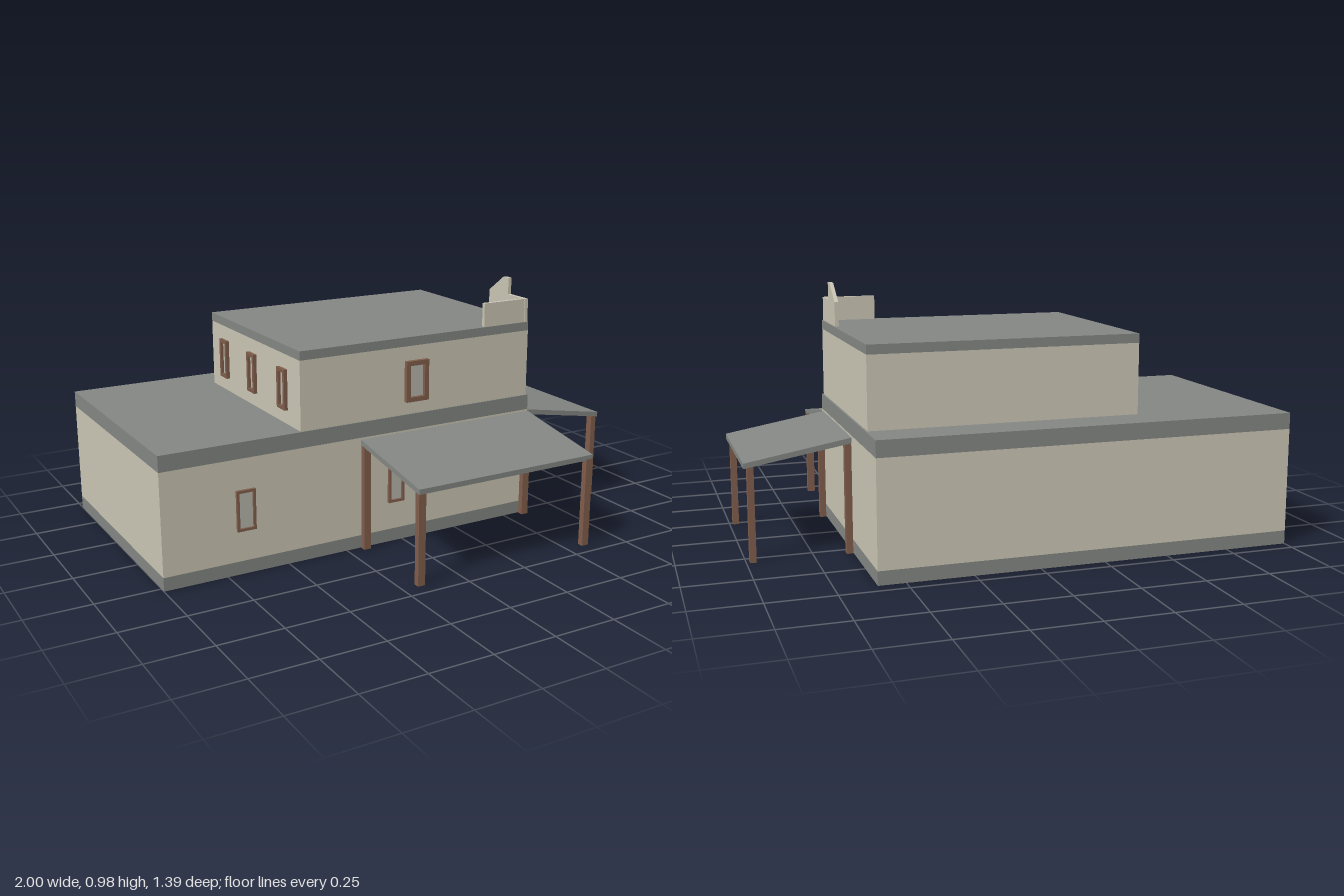
import * as THREE from 'three';

const mat = (name, color) => {
  const m = new THREE.MeshStandardMaterial({ color });
  m.name = name;
  return m;
};

export function createModel() {
  const wall = mat('plaster', 0xcac5b3);
  const grey = mat('greyTrim', 0x838683);
  const wood = mat('wood', 0x7f5d4b);
  const glass = mat('windowPane', 0xb6b6ac);
  const house = new THREE.Group();
  house.name = 'house';

  const add = (parent, name, geometry, material) => {
    const mesh = new THREE.Mesh(geometry, material);
    mesh.name = name;
    parent.add(mesh);
    return mesh;
  };
  // Box given by its limits along each axis
  const box = (parent, name, material, [x0, x1], [y0, y1], [z0, z1]) => {
    const g = new THREE.BoxGeometry(x1 - x0, y1 - y0, z1 - z0);
    g.translate((x0 + x1) / 2, (y0 + y1) / 2, (z0 + z1) / 2);
    return add(parent, name, g, material);
  };
  const polygon = (points) => new THREE.Shape(points.map(([x, y]) => new THREE.Vector2(x, y)));
  const extrude = (shape, depth) => new THREE.ExtrudeGeometry(shape, { depth, bevelEnabled: false });

  // Ground floor with plinth and roof band
  const gx = [-1, 0.602], gz = [-0.697, 0.276];
  box(house, 'plinth', grey, gx, [0, 0.052], gz);
  box(house, 'groundFloorWalls', wall, gx, [0.052, 0.45], gz);
  box(house, 'groundFloorRoof', grey, gx, [0.45, 0.512], gz);

  // Upper floor
  const ux = [-0.44, 0.595], uz = [-0.543, 0.27];
  box(house, 'upperFloorWalls', wall, ux, [0.512, 0.782], uz);
  box(house, 'upperFloorRoof', grey, ux, [0.782, 0.817], uz);

  // Stepped parapet on the roof corner
  box(house, 'frontParapet', wall, [0.38, 0.59], [0.817, 0.912], [0.252, 0.267]);
  const side = extrude(polygon([
    [-0.27, 0.817], [-0.025, 0.817], [-0.025, 0.912], [-0.12, 0.98],
    [-0.155, 0.98], [-0.155, 0.912], [-0.27, 0.912],
  ]), 0.015);
  side.rotateY(Math.PI / 2);
  side.translate(0.575, 0, 0);
  add(house, 'sideParapet', side, wall);

  // Framed windows, built facing +z and turned to suit
  const addWindow = (name, w, h, bar, depth, position, turn = 0) => {
    const win = new THREE.Group();
    win.name = name;
    const rect = (a, b) => [[-a, -b], [a, -b], [a, b], [-a, b]];
    const shape = polygon(rect(w / 2, h / 2));
    shape.holes.push(polygon(rect(w / 2 - bar, h / 2 - bar)));
    add(win, 'windowFrame', extrude(shape, depth), wood);
    box(win, 'windowPane', glass, [-w / 2 + bar, w / 2 - bar],
      [-h / 2 + bar, h / 2 - bar], [0, 0.003]);
    win.position.set(...position);
    win.rotation.y = turn;
    house.add(win);
  };
  addWindow('groundWindow', 0.075, 0.158, 0.01, 0.012, [-0.673, 0.252, 0.276]);
  addWindow('porchWindow', 0.07, 0.185, 0.01, 0.012, [-0.032, 0.258, 0.276]);
  addWindow('upperFrontWindow', 0.1, 0.162, 0.018, 0.018, [0.06, 0.644, 0.27]);
  for (const z of [-0.408, -0.14, 0.132])
    addWindow('upperSideWindow', 0.066, 0.158, 0.014, 0.014, [-0.44, 0.647, z], -Math.PI / 2);

  // Lean-to porch: local +x runs away from the house, local z along it
  const addPorch = (name, run, length, postRuns, postSides) => {
    const porch = new THREE.Group();
    porch.name = name;
    const roof = extrude(polygon([[0, 0.422], [run, 0.353], [run, 0.373], [0, 0.443]]), length);
    roof.translate(0, 0, -length / 2);
    add(porch, 'porchRoof', roof, grey);
    for (const r of postRuns)
      for (const s of postSides)
        box(porch, 'porchPost', wood, [r - 0.012, r + 0.012],
          [0, 0.424 - 0.069 * r / run], [s - 0.015, s + 0.015]);
    house.add(porch);
    return porch;
  };
  const front = addPorch('frontPorch', 0.417, 0.79, [0.014, 0.405], [-0.38, 0.38]);
  front.rotation.y = -Math.PI / 2;
  front.position.set(0.207, 0, 0.278);
  const sidePorch = addPorch('sidePorch', 0.398, 0.56, [0.014, 0.373], [-0.265, 0.27]);
  sidePorch.position.set(0.602, 0, -0.026);

  return house;
}
